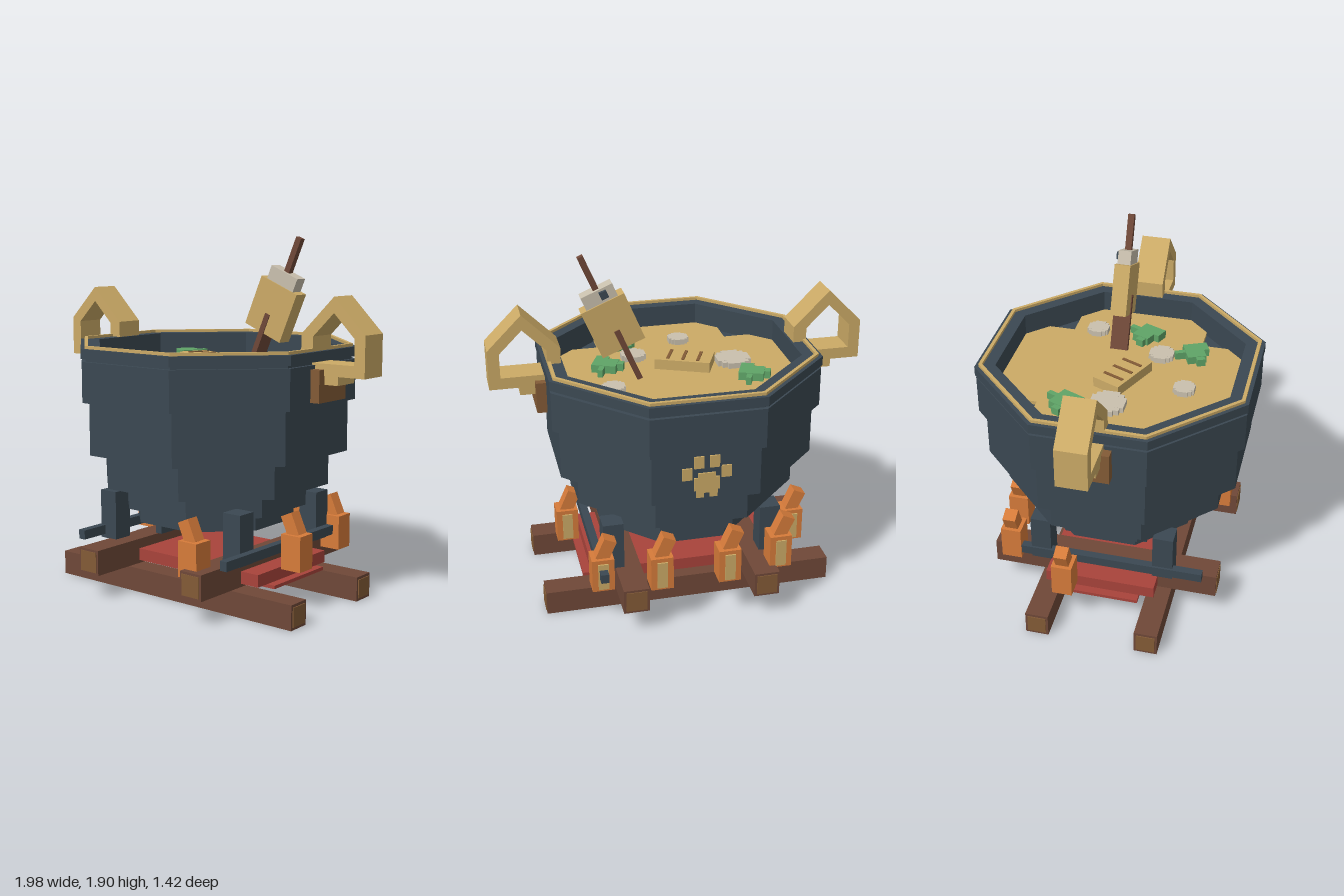
import * as THREE from 'three';

const mat = (name, color) => {
  const m = new THREE.MeshStandardMaterial({ color });
  m.name = name;
  return m;
};

export function createModel() {
  const iron = mat('dark iron', 0x3b4852);
  const gold = mat('gold', 0xcbaa66);
  const wood = mat('dark wood', 0x6f4838);
  const cutWood = mat('cut wood', 0x835b36);
  const red = mat('red', 0xa8433b);
  const orange = mat('orange', 0xd67b3a);
  const white = mat('off white', 0xc9c0ae);
  const green = mat('green', 0x5fa467);

  const model = new THREE.Group();
  const group = (name, x = 0, y = 0, z = 0, parent = model) => {
    const g = new THREE.Group();
    g.name = name;
    g.position.set(x, y, z);
    parent.add(g);
    return g;
  };
  const add = (name, geo, m, x = 0, y = 0, z = 0, parent = model) => {
    const mesh = new THREE.Mesh(geo, m);
    mesh.name = name;
    mesh.position.set(x, y, z);
    parent.add(mesh);
    return mesh;
  };
  const box = (name, m, w, h, d, x, y, z, parent) =>
    add(name, new THREE.BoxGeometry(w, h, d), m, x, y, z, parent);

  // Faceted octagonal solid from [apothem, y] pairs, bottom to top
  const octagon = (name, m, profile) => {
    const pts = profile.map(([a, y]) => new THREE.Vector2(a / Math.cos(Math.PI / 8), y));
    const geo = new THREE.LatheGeometry(pts, 8, Math.PI / 8).toNonIndexed();
    geo.computeVertexNormals();
    return add(name, geo, m);
  };

  // Stepped pot with hollow top
  octagon('pot', iron, [
    [0, 0.4], [0.41, 0.4], [0.41, 0.48], [0.47, 0.48], [0.47, 0.6], [0.58, 0.6], [0.58, 0.785],
    [0.67, 0.785], [0.67, 1.06], [0.705, 1.06], [0.705, 1.27], [0.685, 1.27], [0.685, 1.285],
    [0.71, 1.285], [0.71, 1.335], [0.61, 1.335], [0.61, 1.2], [0, 1.2],
  ]);
  octagon('rimTrim', gold, [[0.69, 1.33], [0.69, 1.35], [0.672, 1.35], [0.672, 1.33]]);

  // Broth in a stepped cross
  box('broth', gold, 0.72, 0.04, 1.24, 0, 1.2, 0);
  for (const s of [-1, 1]) box('brothSide', gold, 0.26, 0.04, 0.72, s * 0.49, 1.2, 0);

  // Stepped round slices
  for (const [x, z, w] of [[-0.31, 0, 0.18], [0.375, -0.225, 0.115], [0.2, 0.17, 0.13], [-0.09, 0.35, 0.11]]) {
    const slice = group('slice', x, 1.235, z);
    box('sliceLong', white, w, 0.03, w * 0.5, 0, 0, 0, slice);
    box('sliceWide', white, w * 0.5, 0.03, w, 0, 0, 0, slice);
    box('sliceMiddle', white, w * 0.8, 0.028, w * 0.8, 0, 0, 0, slice);
  }

  // Leafy pieces
  for (const [x, z, turn] of [[-0.355, -0.215, -0.4], [0.37, 0.05, -0.4], [0.24, 0.34, 0.42]]) {
    const leaf = group('leaf', x, 1.24, z);
    leaf.rotation.y = turn;
    box('leafBody', green, 0.13, 0.045, 0.1, 0, 0, 0, leaf);
    box('leafTip', green, 0.07, 0.045, 0.04, 0.03, 0, 0.06, leaf);
    box('leafSide', green, 0.03, 0.04, 0.045, -0.08, 0, 0.015, leaf);
    box('leafStem', green, 0.028, 0.04, 0.06, 0.005, 0, -0.075, leaf);
  }

  // Grilled block
  const block = group('grilledBlock', -0.05, 1.245, 0.015);
  block.rotation.y = -0.41;
  box('blockBody', gold, 0.295, 0.06, 0.16, 0, 0, 0, block);
  for (const i of [-1, 0, 1]) box('grillMark', cutWood, 0.016, 0.008, 0.12, i * 0.08, 0.031, 0, block);

  // Leaning ladle
  const ladle = group('ladle', 0.35, 1.525, -0.07);
  ladle.rotation.z = -0.4;
  box('ladleHead', gold, 0.24, 0.27, 0.085, 0, 0, 0, ladle);
  box('ladleCollar', white, 0.175, 0.075, 0.07, 0, 0.17, 0, ladle);
  box('ladleHandle', wood, 0.032, 0.2, 0.034, 0, 0.295, 0, ladle);
  box('ladleStick', wood, 0.03, 0.3, 0.095, -0.005, -0.18, 0, ladle);
  box('ladlePeg', iron, 0.04, 0.04, 0.02, -0.025, 0.175, -0.043, ladle);

  // Side handles with brackets
  const arch = new THREE.Shape([[0.62, 1.22], [0.99, 1.22], [0.99, 1.43], [0.81, 1.61], [0.63, 1.43], [0.62, 1.42]]
    .map((p) => new THREE.Vector2(...p)));
  arch.holes.push(new THREE.Path([[0.69, 1.28], [0.69, 1.41], [0.81, 1.53], [0.93, 1.41], [0.93, 1.28]]
    .map((p) => new THREE.Vector2(...p))));
  const archGeo = new THREE.ExtrudeGeometry(arch, { depth: 0.16, bevelEnabled: false }).translate(0, 0, -0.08);
  for (const s of [0, 1]) {
    const handle = group('handle');
    handle.rotation.y = s * Math.PI;
    add('handleArch', archGeo, gold, 0, 0, 0, handle);
    box('handleFoot', gold, 0.14, 0.05, 0.15, 0.765, 1.2, 0, handle);
    box('handleBracket', cutWood, 0.07, 0.165, 0.24, 0.722, 1.168, 0, handle);
  }

  // Paw mark on the back wall
  const paw = group('pawMark', 0, 0.92, -0.673);
  for (const [x, y, w, h] of [
    [0, -0.04, 0.13, 0.07], [0, -0.035, 0.09, 0.11], [-0.035, -0.09, 0.04, 0.05], [0.035, -0.09, 0.04, 0.05],
    [-0.1, 0.02, 0.05, 0.065], [0.1, 0.02, 0.05, 0.065], [-0.04, 0.08, 0.05, 0.065], [0.04, 0.08, 0.05, 0.065],
  ]) box('pawPad', gold, w, h, 0.009, x, y, 0, paw);

  // Crossed log base with cut ends
  for (const z of [-0.28, 0.315]) {
    box('lowerLog', wood, 1.57, 0.13, 0.125, 0, 0.065, z);
    for (const s of [-1, 1]) box('lowerLogEnd', cutWood, 0.008, 0.1, 0.1, s * 0.786, 0.065, z);
  }
  for (const x of [-0.35, 0.35]) {
    box('upperLog', wood, 0.135, 0.135, 1.24, x, 0.2, 0);
    for (const s of [-1, 1]) box('upperLogEnd', cutWood, 0.11, 0.11, 0.008, x, 0.2, s * 0.62);
  }
  box('redPanel', red, 1.05, 0.065, 0.6, 0, 0.182, 0);
  box('redUnderPanel', red, 1.14, 0.018, 0.44, 0, 0.14, 0);

  // Iron posts and fire bars
  for (const x of [-0.425, 0.425])
    for (const z of [-0.335, 0.335]) box('post', iron, 0.11, 0.265, 0.11, x, 0.398, z);
  for (const [x, length] of [[-0.47, 1.1], [0.5, 1.1], [-0.23, 0.4]])
    box('fireBar', iron, 0.042, 0.05, length, x, 0.312, 0);

  // Flames, each with a leaning tip and pale plate: x, base y, z
  for (const [x, y, z] of [
    [0.3, 0.22, 0.53], [0.61, 0.215, 0.085], [0.5, 0.205, -0.44], [0.21, 0.24, -0.545],
    [-0.15, 0.24, -0.55], [-0.44, 0.255, -0.5], [-0.61, 0.205, -0.17],
  ]) {
    const flame = group('flame', x, y, z);
    box('flameBody', orange, 0.118, 0.185, 0.11, 0, 0.0925, 0, flame);
    box('flameTip', orange, 0.07, 0.12, 0.07, -0.02, 0.23, 0, flame).rotation.z = 0.42;
    box('flamePlate', gold, 0.055, 0.15, 0.009, 0, 0.088, -0.059, flame);
  }

  return model;
}
